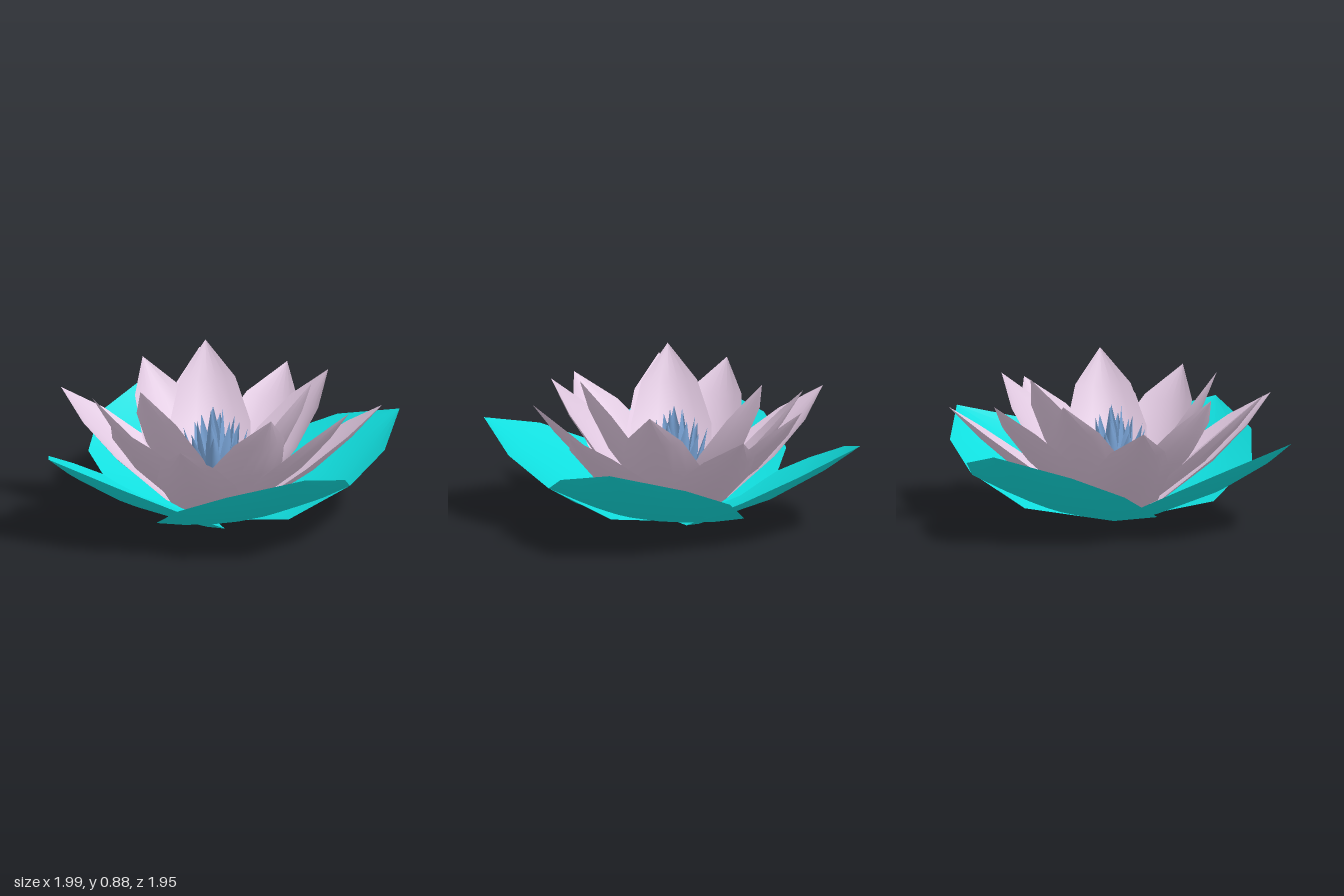
import * as THREE from 'three';

// Blade cross-sections: distance along the blade, half width, depth of the cup
const ROWS = [[0, 0, 0], [0.227, 0.5, 0.06], [0.545, 0.54, 0.08], [0.79, 0.373, 0.05], [1, 0, 0]];
const COLS = 6;

const material = (color) => new THREE.MeshStandardMaterial({ color, side: THREE.DoubleSide });

// Cupped blade that starts at the origin and rises along +x to (reach, height)
function bladeGeometry(reach, height, width, cup) {
  const length = Math.hypot(reach, height);
  const position = [], index = [];
  for (const [along, half, depth] of ROWS) {
    for (let c = 0; c <= COLS; c++) {
      const t = (c / COLS) * 2 - 1;
      const drop = depth * cup * (1 - t * t);
      position.push(
        reach * along + (drop * height) / length,
        height * along - (drop * reach) / length,
        half * width * t
      );
    }
  }
  for (let r = 0; r < ROWS.length - 1; r++) {
    for (let c = 0; c < COLS; c++) {
      const a = r * (COLS + 1) + c, b = a + COLS + 1;
      if (r > 0) index.push(a, a + 1, b);
      if (r < ROWS.length - 2) index.push(a + 1, b + 1, b);
      else if (c === COLS - 1) continue;
    }
  }
  // The base row meets in one point, so its fan uses the upper triangles only
  const geometry = new THREE.BufferGeometry();
  geometry.setAttribute('position', new THREE.Float32BufferAttribute(position, 3));
  geometry.setIndex(index);
  geometry.computeVertexNormals();
  return geometry;
}

// Ring of equal blades at the given angles (degrees, from +x towards +z)
function ring(name, angles, { reach, height, width, cup }, mat) {
  const group = new THREE.Group();
  group.name = name + 'Ring';
  const geometry = bladeGeometry(reach, height, width, cup);
  for (const angle of angles) {
    const blade = new THREE.Mesh(geometry, mat);
    blade.name = name;
    blade.rotation.y = -THREE.MathUtils.degToRad(angle);
    group.add(blade);
  }
  return group;
}

const evenly = (count, start) => Array.from({ length: count }, (_, i) => start + (i * 360) / count);

export function createModel() {
  const model = new THREE.Group();
  model.name = 'waterLily';
  const teal = material(0x10dede);
  const pink = material(0xe0c8e0);
  const blue = material(0x7aa5d8);

  // Broad leaves underneath
  model.add(ring('leaf', [30.7, 114.7, 199.6, 301.4], { reach: 1.105, height: 0.535, width: 1, cup: 1 }, teal));

  // Petals, from the low outer ring to the steep inner ring
  model.add(ring('outerPetal', [51, 153.7, 253.5, 347], { reach: 0.935, height: 0.675, width: 0.42, cup: 0.9 }, pink));
  model.add(ring('upperOuterPetal', [80.5, 185, 315.5], { reach: 0.857, height: 0.755, width: 0.42, cup: 0.9 }, pink));
  model.add(ring('middlePetal', [22.7, 116, 214.8, 287], { reach: 0.722, height: 0.78, width: 0.42, cup: 0.9 }, pink));
  model.add(ring('innerPetal', [76, 187, 316], { reach: 0.592, height: 0.88, width: 0.42, cup: 0.9 }, pink));

  // Narrow stamens in the middle
  model.add(ring('outerStamen', evenly(8, 10), { reach: 0.18, height: 0.54, width: 0.09, cup: 0.4 }, blue));
  model.add(ring('middleStamen', evenly(6, 35), { reach: 0.11, height: 0.6, width: 0.09, cup: 0.4 }, blue));
  model.add(ring('innerStamen', evenly(3, 60), { reach: 0.04, height: 0.66, width: 0.09, cup: 0.4 }, blue));

  model.position.set(0.04, 0, -0.03);
  const root = new THREE.Group();
  root.name = 'flower';
  root.add(model);
  return root;
}
